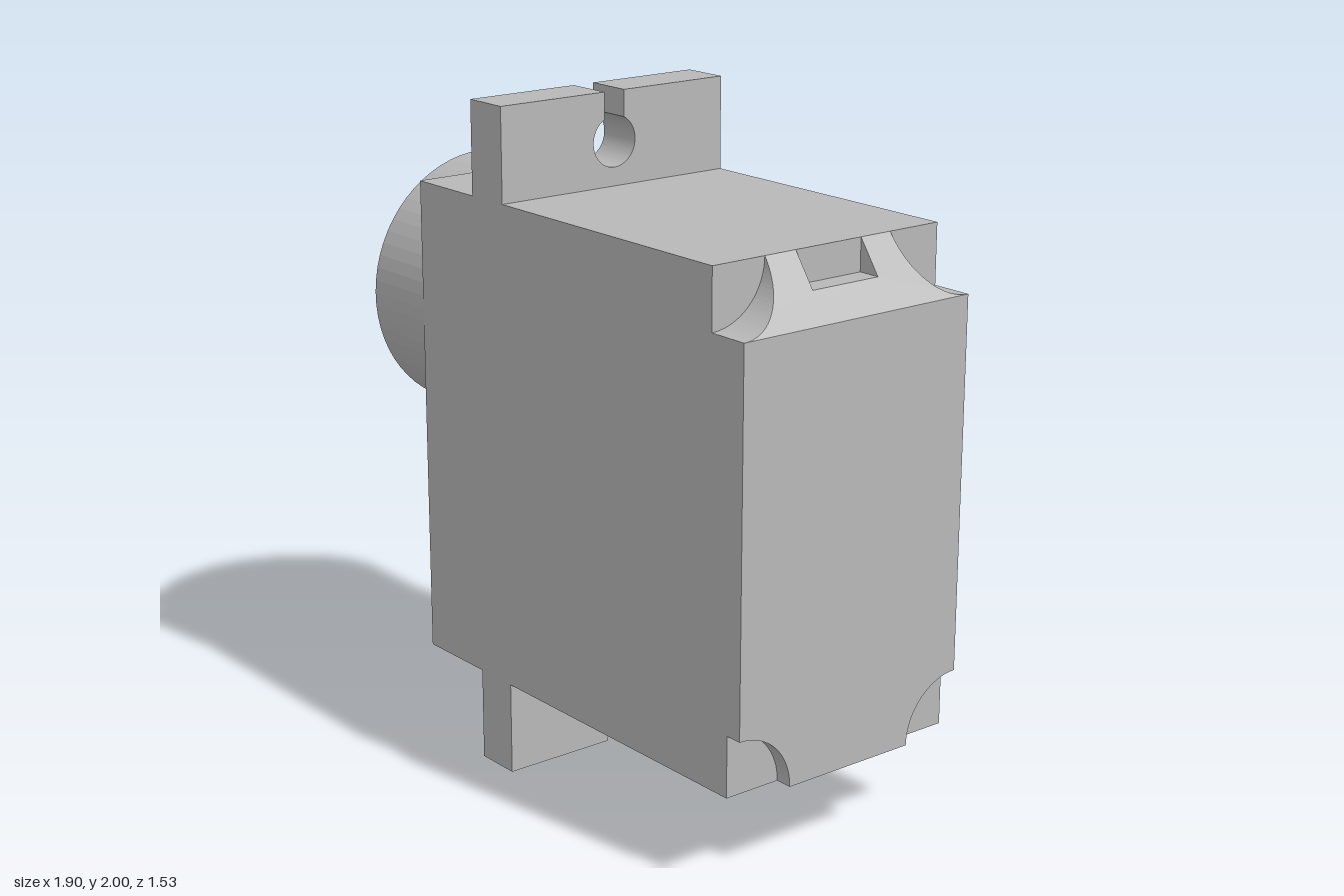
import * as THREE from 'three';

export function createModel() {
  const grey = new THREE.MeshStandardMaterial({ color: 0xb8b8b8 });
  grey.name = 'greyPlastic';

  const W = 0.396;              // half width of the case
  const bottom = 0.28, top = 1.725;
  const front = -0.584, step = 0.735, ledge = 0.81, back = 0.861;
  const shoulder = 1.55;        // height where the sloped rear edge starts

  const servo = new THREE.Group();
  servo.name = 'servo';

  const add = (name, geometry) => {
    const mesh = new THREE.Mesh(geometry, grey);
    mesh.name = name;
    servo.add(mesh);
    return mesh;
  };
  // Extrude a (width, height) shape along the case's length, from x0 to x1
  const along = (shape, x0, x1, curveSegments = 12) =>
    new THREE.ExtrudeGeometry(shape, { depth: x1 - x0, bevelEnabled: false, curveSegments })
      .rotateY(Math.PI / 2).translate(x0, 0, 0);
  const polygon = (points) => new THREE.Shape(points.map(([x, y]) => new THREE.Vector2(x, y)));

  // Main case, stepped at the upper rear edge
  const caseProfile = polygon([
    [front, bottom], [ledge, bottom], [ledge, shoulder],
    [step, shoulder], [step, top], [front, top],
  ]);
  add('case', new THREE.ExtrudeGeometry(caseProfile, { depth: 2 * W, bevelEnabled: false })
    .translate(0, 0, -W));

  // Rear cover with round screw recesses in its lower corners
  const r = 0.18;
  const cover = new THREE.Shape();
  cover.moveTo(-W + r, bottom);
  cover.lineTo(W - r, bottom);
  cover.absarc(W, bottom, r, Math.PI, Math.PI / 2, true);
  cover.lineTo(W, shoulder);
  cover.lineTo(-W, shoulder);
  cover.absarc(-W, bottom, r, Math.PI / 2, 0, true);
  add('rearCover', along(cover, ledge, back));

  // Sloped upper rear edge with corner recesses and a cable notch
  const s = top - shoulder, notch = 0.115, notchFloor = 1.63;
  const slope = new THREE.Shape();
  slope.moveTo(-W, shoulder);
  slope.lineTo(W, shoulder);
  slope.absarc(W, top, s, -Math.PI / 2, -Math.PI, true);
  slope.lineTo(notch, top);
  slope.lineTo(notch, notchFloor);
  slope.lineTo(-notch, notchFloor);
  slope.lineTo(-notch, top);
  slope.absarc(-W, top, s, 0, -Math.PI / 2, true);
  const wedge = along(slope, step, back);
  const p = wedge.attributes.position;
  for (let i = 0; i < p.count; i++) {
    if (p.getX(i) > step + 0.01) {
      p.setX(i, back - (back - step) * (p.getY(i) - shoulder) / s);
    }
  }
  wedge.computeVertexNormals();
  add('slopedRearEdge', wedge);

  // Mounting tabs with keyhole slots, mirrored top and bottom
  const holeY = 1.855, holeR = 0.075, slot = 0.035;
  const a = Math.acos(slot / holeR);
  const tab = new THREE.Shape();
  tab.moveTo(-W, 1.72);
  tab.lineTo(W, 1.72);
  tab.lineTo(W, 2);
  tab.lineTo(slot, 2);
  tab.absarc(0, holeY, holeR, a, Math.PI - a, true);
  tab.lineTo(-slot, 2);
  tab.lineTo(-W, 2);
  add('upperTab', along(tab, -0.32, -0.175, 28));
  add('lowerTab', along(tab, -0.32, -0.175, 28).rotateX(Math.PI).translate(0, 2, 0));

  // Gear boss: a large circle merged with a small one below it
  const axisY = 1.33, R = W, smallY = 0.995, smallR = 0.17;
  const d = axisY - smallY;
  const drop = (R * R - smallR * smallR + d * d) / (2 * d);
  const half = Math.sqrt(R * R - drop * drop);
  const bigA = Math.atan2(-drop, half);
  const smallA = Math.atan2(d - drop, half);
  const boss = new THREE.Shape();
  boss.absarc(0, axisY, R, bigA, Math.PI - bigA, false);
  boss.absarc(0, smallY, smallR, -Math.PI - smallA, smallA, false);
  add('gearBoss', along(boss, -0.843, front, 28));

  // Output shaft with a screw hole
  const shaft = new THREE.Shape();
  shaft.absarc(0, axisY, 0.15, 0, Math.PI * 2, false);
  const bore = new THREE.Path();
  bore.absarc(0, axisY, 0.045, 0, Math.PI * 2, true);
  shaft.holes.push(bore);
  add('outputShaft', along(shaft, -1.014, -0.843, 28));

  // The whole unit stands turned on its base
  servo.rotation.y = -THREE.MathUtils.degToRad(29.5);
  servo.position.set(0.006, 0, -0.004);

  const model = new THREE.Group();
  model.name = 'servoMotor';
  model.add(servo);
  return model;
}
